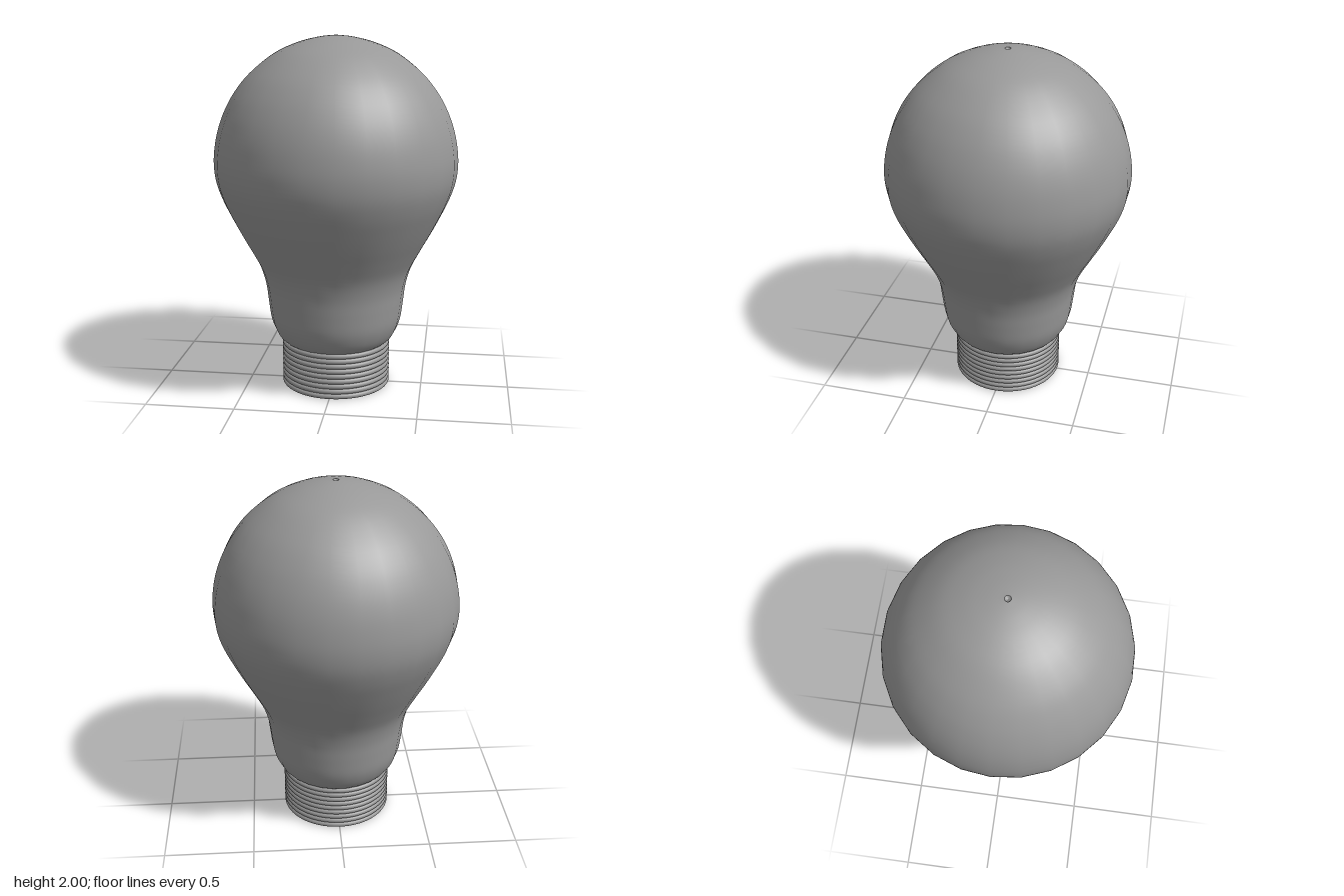
import * as THREE from 'three';

const material = new THREE.MeshStandardMaterial({ color: 0x999999, side: THREE.DoubleSide });

function addLathe(group, name, points, sides) {
  const mesh = new THREE.Mesh(new THREE.LatheGeometry(points, sides, Math.PI / 2), material);
  mesh.name = name;
  group.add(mesh);
  return mesh;
}

export function createModel() {
  const group = new THREE.Group();
  group.name = 'lightBulb';

  // Glass: a smooth lathed profile with 26 sides
  const outline = [
    [0.295, 0.262], [0.322, 0.285], [0.35, 0.33], [0.374, 0.4], [0.388, 0.5],
    [0.401, 0.6], [0.43, 0.7], [0.482, 0.8], [0.538, 0.9], [0.59, 1.0],
    [0.637, 1.1], [0.67, 1.2], [0.681, 1.3], [0.673, 1.4], [0.651, 1.5],
    [0.613, 1.6], [0.556, 1.7], [0.472, 1.8], [0.345, 1.9], [0.215, 1.96],
    [0.1, 1.99], [0.017, 2.0],
  ].map(([r, y]) => new THREE.Vector2(r, y));
  addLathe(group, 'glassBulb', new THREE.SplineCurve(outline).getPoints(84), 26);

  // Tiny dimple at the crown
  const dimple = [[0.017, 2.0], [0.012, 1.99], [0, 1.985]].map(([r, y]) => new THREE.Vector2(r, y));
  addLathe(group, 'crownDimple', dimple.reverse(), 26);

  // Screw base: stacked rounded ridges
  const ridges = 9;
  const height = 0.266;
  const steps = 8;
  const pitch = height / ridges;
  for (let i = 0; i < ridges; i++) {
    const ridge = [];
    for (let j = 0; j <= steps; j++) {
      const a = (j / steps) * Math.PI;
      ridge.push(new THREE.Vector2(0.297 + 0.014 * Math.sin(a), pitch * (i + 0.5 - 0.5 * Math.cos(a))));
    }
    addLathe(group, 'screwRidge', ridge, 64);
  }

  // Flat underside and the shoulder closing the top of the base
  for (const [name, y, turn] of [['baseUnderside', 0, 1], ['baseShoulder', height, -1]]) {
    const disc = new THREE.Mesh(new THREE.CircleGeometry(0.298, 64), material);
    disc.name = name;
    disc.rotation.x = turn * Math.PI / 2;
    disc.position.y = y;
    group.add(disc);
  }

  return group;
}
